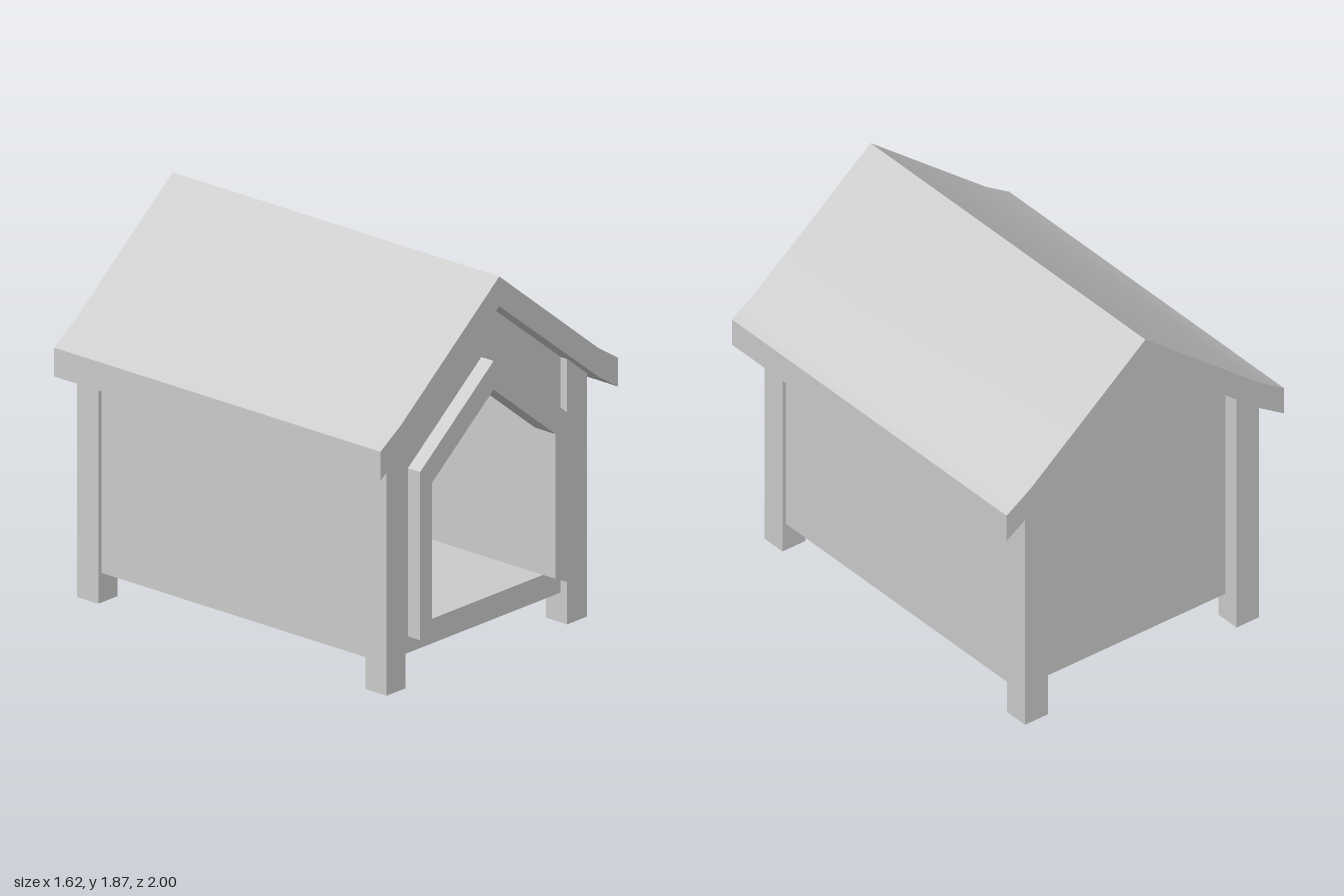
import * as THREE from 'three';
import { toCreasedNormals } from 'three/addons/utils/BufferGeometryUtils.js';

const material = new THREE.MeshStandardMaterial({ color: 0xcccccc });

const toPoints = (pts) => pts.map(([x, y]) => new THREE.Vector2(x, y));

// Flat outline in x/y pushed from z0 to z1
function slab(name, pts, z0, z1, hole) {
  const shape = new THREE.Shape(toPoints(pts));
  if (hole) shape.holes.push(new THREE.Path(toPoints(hole)));
  const geo = new THREE.ExtrudeGeometry(shape, { depth: z1 - z0, bevelEnabled: false });
  geo.translate(0, 0, z0);
  const mesh = new THREE.Mesh(toCreasedNormals(geo, 0.4), material);
  mesh.name = name;
  return mesh;
}

// Height of the roof underside, raised a little so parts tuck into it
const underside = (x) => 1.73 - Math.abs(x) * 0.79;

export function createModel() {
  const group = new THREE.Group();
  group.name = 'kennel';

  const base = 0.145;
  const left = 0.655, right = -0.67;
  const front = 0.89, back = -0.885;
  const wall = 0.05;

  // Roof: gable with slightly flared eaves
  group.add(slab('roof', [
    [-0.81, 1.1], [-0.67, 1.19], [0, 1.72], [0.67, 1.19], [0.81, 1.1],
    [0.81, 1.24], [0.67, 1.33], [0, 1.865], [-0.67, 1.33], [-0.81, 1.24],
  ], -1, 1));

  // Gable walls, the front one with the doorway
  const gable = [
    [right, base], [left, base], [left, underside(left)],
    [0, underside(0)], [right, underside(right)],
  ];
  const doorway = [[-0.42, 0.265], [-0.42, 0.97], [0, 1.305], [0.42, 0.97], [0.42, 0.265]];
  group.add(slab('frontWall', gable, front - wall, front, doorway));
  group.add(slab('backWall', gable, back, back + wall));

  // Side walls with tops cut to the roof slope
  for (const [name, a, b] of [['leftWall', left - wall, left], ['rightWall', right, right + wall]]) {
    group.add(slab(name, [[a, base], [b, base], [b, underside(b)], [a, underside(a)]],
      back + wall, front - wall));
  }

  // Floor
  group.add(slab('floor', [
    [right + wall, base], [left - wall, base], [left - wall, 0.17], [right + wall, 0.17],
  ], back + wall, front - wall));

  // Door frame: two jambs and a pointed head, mitred at the bottom
  group.add(slab('doorFrame', [
    [-0.5, 0.225], [-0.42, 0.265], [-0.42, 0.97], [0, 1.305], [0.42, 0.97], [0.42, 0.265],
    [0.505, 0.225], [0.505, 1.05], [0, 1.445], [-0.5, 1.045],
  ], front - 0.01, 0.965));

  // Corner posts
  for (const [side, a, b] of [['Left', 0.54, 0.675], ['Right', -0.69, -0.56]]) {
    for (const [end, z0, z1] of [['front', 0.8, 0.93], ['back', -0.965, -0.835]]) {
      group.add(slab(`${end}${side}Post`,
        [[a, 0], [b, 0], [b, underside(b)], [a, underside(a)]], z0, z1));
    }
  }

  return group;
}
